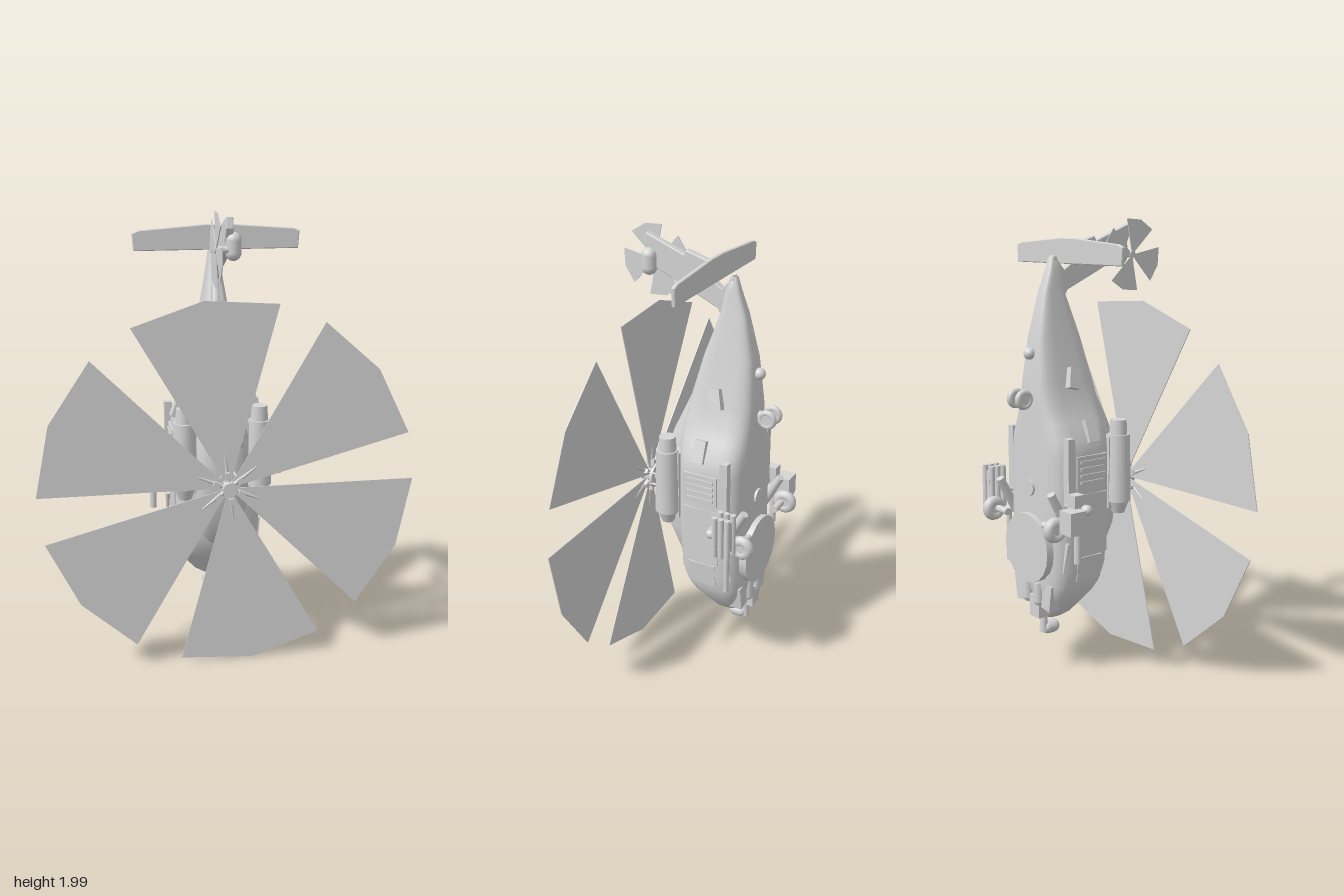
import * as THREE from 'three';

const grey = new THREE.MeshStandardMaterial({ color: 0xd5d5d5 });
grey.name = 'airframe grey';

// Skin over rounded sections; each row is [y, zBelly, zTop, halfWidth]
function loft(rows, power = 0.6, n = 32) {
  const pos = [], idx = [];
  const soft = v => Math.sign(v) * Math.abs(v) ** power;
  for (const [y, z0, z1, w] of rows) {
    for (let i = 0; i < n; i++) {
      const t = i / n * Math.PI * 2;
      pos.push(w * soft(Math.cos(t)), y, (z0 + z1) / 2 + (z1 - z0) / 2 * soft(Math.sin(t)));
    }
  }
  for (let j = 0; j < rows.length - 1; j++) {
    for (let i = 0; i < n; i++) {
      const a = j * n + i, b = j * n + (i + 1) % n;
      idx.push(a, a + n, b, b, a + n, b + n);
    }
  }
  const last = (rows.length - 1) * n;
  for (let i = 1; i < n - 1; i++) idx.push(0, i, i + 1, last, last + i + 1, last + i);
  const g = new THREE.BufferGeometry();
  g.setAttribute('position', new THREE.Float32BufferAttribute(pos, 3));
  g.setIndex(idx);
  g.computeVertexNormals();
  return g;
}

const outline = points => new THREE.Shape(points.map(p => new THREE.Vector2(...p)));

// Thin fan-shaped rotor blade with three outer corners, angles in degrees
function fan(radius, start, span) {
  const tips = [0, 0.5, 1].map(k => {
    const a = THREE.MathUtils.degToRad(start + span * k);
    return [radius * Math.cos(a), radius * Math.sin(a)];
  });
  return new THREE.ExtrudeGeometry(outline([[0, 0], ...tips]), { depth: 0.004, bevelEnabled: false });
}

export function createModel() {
  const model = new THREE.Group();
  const add = (name, geo, x = 0, y = 0, z = 0, rx = 0, ry = 0, rz = 0) => {
    const m = new THREE.Mesh(geo, grey);
    m.name = name;
    m.position.set(x, y, z);
    m.rotation.set(rx, ry, rz);
    model.add(m);
  };
  const box = (name, w, h, d, ...at) => add(name, new THREE.BoxGeometry(w, h, d), ...at);
  const cyl = (name, r0, r1, h, ...at) => add(name, new THREE.CylinderGeometry(r0, r1, h, 20), ...at);
  const ball = (name, r, ...at) => add(name, new THREE.SphereGeometry(r, 20, 14), ...at);
  const H = Math.PI / 2;

  // Fuselage, nose down and tail up
  add('fuselage', loft([
    [0.25, -0.235, -0.15, 0.055], [0.28, -0.25, -0.125, 0.1], [0.33, -0.265, -0.09, 0.14],
    [0.38, -0.285, -0.035, 0.168], [0.42, -0.29, -0.005, 0.182], [0.5, -0.295, 0.02, 0.197],
    [0.7, -0.295, 0.03, 0.203], [1.0, -0.295, 0.03, 0.203], [1.07, -0.295, 0.033, 0.19],
    [1.14, -0.295, 0.035, 0.155], [1.21, -0.295, 0.028, 0.125], [1.3, -0.293, 0.01, 0.102],
    [1.5, -0.275, -0.045, 0.066], [1.69, -0.23, -0.115, 0.036], [1.78, -0.197, -0.13, 0.026],
    [1.84, -0.18, -0.15, 0.014]], 0.55));
  add('engineFairing', loft([
    [0.47, -0.05, 0.02, 0.05], [0.52, -0.05, 0.065, 0.09], [0.65, -0.05, 0.12, 0.115],
    [0.81, -0.05, 0.14, 0.125], [1.0, -0.05, 0.14, 0.12], [1.12, -0.08, 0.1, 0.095],
    [1.3, -0.1, 0.018, 0.055], [1.5, -0.15, -0.04, 0.03], [1.69, -0.2, -0.11, 0.02]], 0.75));

  // Engines and exhausts
  for (const s of [-1, 1]) {
    cyl('engine', 0.05, 0.056, 0.3, s * 0.168, 0.92, 0.067);
    cyl('engineIntake', 0.05, 0.028, 0.06, s * 0.168, 0.745, 0.067);
    cyl('exhaust', 0.036, 0.04, 0.07, s * 0.168, 1.1, 0.065);
    box('enginePylon', 0.08, 0.32, 0.07, s * 0.13, 0.9, 0.045);
    ball('engineBlister', 0.03, s * 0.06, 0.99, 0.132);
  }

  // Tail fin, tail plane and tail rotor
  const fin = outline([[-0.167, 1.84], [-0.115, 1.78], [-0.055, 1.82], [-0.05, 1.89],
    [0.05, 1.92], [0.06, 1.9], [0.24, 1.97], [0.25, 1.93], [0.21, 1.84], [-0.1, 1.7], [-0.12, 1.66], [-0.2, 1.74]]);
  add('tailFin', new THREE.ExtrudeGeometry(fin, { depth: 0.022, bevelThickness: 0.006, bevelSize: 0.004, bevelSegments: 2 }),
    0.011, 0, 0, 0, -H);
  const plane = outline([[-0.36, 1.81], [0.36, 1.81], [0.365, 1.88], [0.34, 1.89],
    [0.05, 1.912], [-0.05, 1.912], [-0.34, 1.89], [-0.365, 1.88]]);
  add('tailPlane', new THREE.ExtrudeGeometry(plane, { depth: 0.006, bevelThickness: 0.006, bevelSize: 0.004, bevelSegments: 2 }), 0, 0, -0.085);
  add('tailGearbox', new THREE.CapsuleGeometry(0.034, 0.05, 6, 16), 0.02, 1.855, 0.225);
  cyl('tailRotorHub', 0.015, 0.015, 0.07, -0.025, 1.843, 0.235, 0, 0, H);
  for (let i = 0; i < 4; i++) add('tailRotorBlade', fan(0.16, 43 + 90 * i, 58), -0.051, 1.841, 0.235, 0, -H);

  // Main rotor
  const ry = 0.822, rz = 0.255;
  cyl('rotorMast', 0.018, 0.025, 0.2, 0, ry, 0.18, H);
  cyl('rotorHub', 0.032, 0.032, 0.06, 0, ry, 0.257, H);
  cyl('swashPlate', 0.055, 0.055, 0.012, 0, ry, 0.225, H);
  for (let i = 0; i < 6; i++) {
    const a = THREE.MathUtils.degToRad(97.5 + 60 * i), c = Math.cos(a), s = Math.sin(a);
    add('rotorBlade', fan(0.825, 75 + 60 * i, 45), 0, ry, rz - 0.002);
    cyl('rotorArm', 0.004, 0.011, 0.13, c * 0.085, ry + s * 0.085, rz, 0, 0, a - H);
    box('rotorDamper', 0.02, 0.03, 0.04, c * 0.06, ry + s * 0.06, rz, 0, 0, a - H);
    cyl('pitchRod', 0.005, 0.005, 0.12, c * 0.052, ry + s * 0.052, 0.185, H);
  }

  // Landing gear
  const wheel = (x, y, z, r, w) => {
    add('wheel', new THREE.TorusGeometry(r - w * 0.45, w * 0.45, 10, 24), x, y, z, 0, H);
    cyl('wheelHub', r * 0.7, r * 0.7, w * 0.7, x, y, z, 0, 0, H);
  };
  for (const s of [-1, 1]) {
    wheel(s * 0.23, 0.715, -0.332, 0.056, 0.052);
    cyl('mainAxle', 0.016, 0.016, 0.09, s * 0.18, 0.715, -0.32, 0, 0, H);
    cyl('mainLeg', 0.018, 0.022, 0.18, s * 0.19, 0.78, -0.28, -0.5);
    wheel(s * 0.03, 1.245, -0.343, 0.044, 0.03);
  }
  cyl('tailAxle', 0.01, 0.01, 0.06, 0, 1.245, -0.343, 0, 0, H);
  cyl('tailLeg', 0.02, 0.02, 0.08, 0, 1.245, -0.3, H);

  // Belly radome, hatch and beacon
  cyl('radome', 0.157, 0.157, 0.035, 0, 0.58, -0.302, H);
  cyl('bellyHatch', 0.036, 0.036, 0.02, 0, 0.85, -0.295, H);
  ball('beacon', 0.026, 0, 1.435, -0.29);

  // Nose sensors
  add('sensorBall', new THREE.CapsuleGeometry(0.03, 0.03, 6, 16), -0.02, 0.195, -0.205, H);
  cyl('sensorNeck', 0.015, 0.02, 0.08, -0.02, 0.22, -0.24);
  box('sensorMount', 0.07, 0.1, 0.06, -0.02, 0.31, -0.262);
  for (const s of [-1, 1]) {
    box('noseSensor', 0.06, 0.12, 0.06, s * 0.1, 0.37, -0.255, 0, 0, s * -0.15);
    add('noseFairing', new THREE.CapsuleGeometry(0.025, 0.08, 4, 12), s * 0.04, 0.38, -0.28);
  }

  // Side fittings
  for (const s of [-1, 1]) {
    box('sideVent', 0.02, 0.14, 0.16, s * 0.2, 0.935, -0.115);
    for (let i = 0; i < 4; i++) box('ventSlat', 0.008, 0.012, 0.13, s * 0.212, 0.89 + i * 0.03, -0.115);
    box('flareDispenser', 0.05, 0.1, 0.055, s * 0.17, 1.1, -0.1, 0, 0, s * 0.35);
    box('boomAntenna', 0.05, 0.09, 0.055, s * 0.1, 1.325, -0.14, 0.25, 0, s * 0.25);
    box('sidePanel', 0.035, 0.28, 0.035, s * 0.205, 0.95, -0.235);
    box('cabinDoor', 0.008, 0.27, 0.17, s * 0.201, 0.7, -0.115);
    box('cockpitWindow', 0.01, 0.11, 0.13, s * 0.192, 0.5, -0.12, 0, 0, s * -0.1);
    cyl('stubWing', 0.02, 0.025, 0.14, s * 0.25, 0.8, -0.225, 0, 0, H);
    ball('stubWingTip', 0.024, s * 0.31, 0.8, -0.225);
    cyl('probe', 0.012, 0.004, 0.13, s * 0.21, 0.57, -0.26, 0.2);
  }

  // Missile rack on the left, sensor box and gun on the right
  box('missileRack', 0.02, 0.14, 0.08, 0.302, 0.8, -0.275);
  for (const x of [0.275, 0.33]) {
    for (const z of [-0.25, -0.28, -0.31]) cyl('missile', 0.013, 0.013, 0.19, x, 0.8, z);
  }
  cyl('sideGun', 0.012, 0.012, 0.24, 0.222, 0.58, -0.255);
  box('sensorBox', 0.08, 0.1, 0.08, -0.305, 0.76, -0.295);
  cyl('gunBarrel', 0.016, 0.016, 0.25, -0.28, 0.69, -0.25);
  box('gunBreech', 0.05, 0.09, 0.05, -0.27, 0.82, -0.25);

  return model;
}
